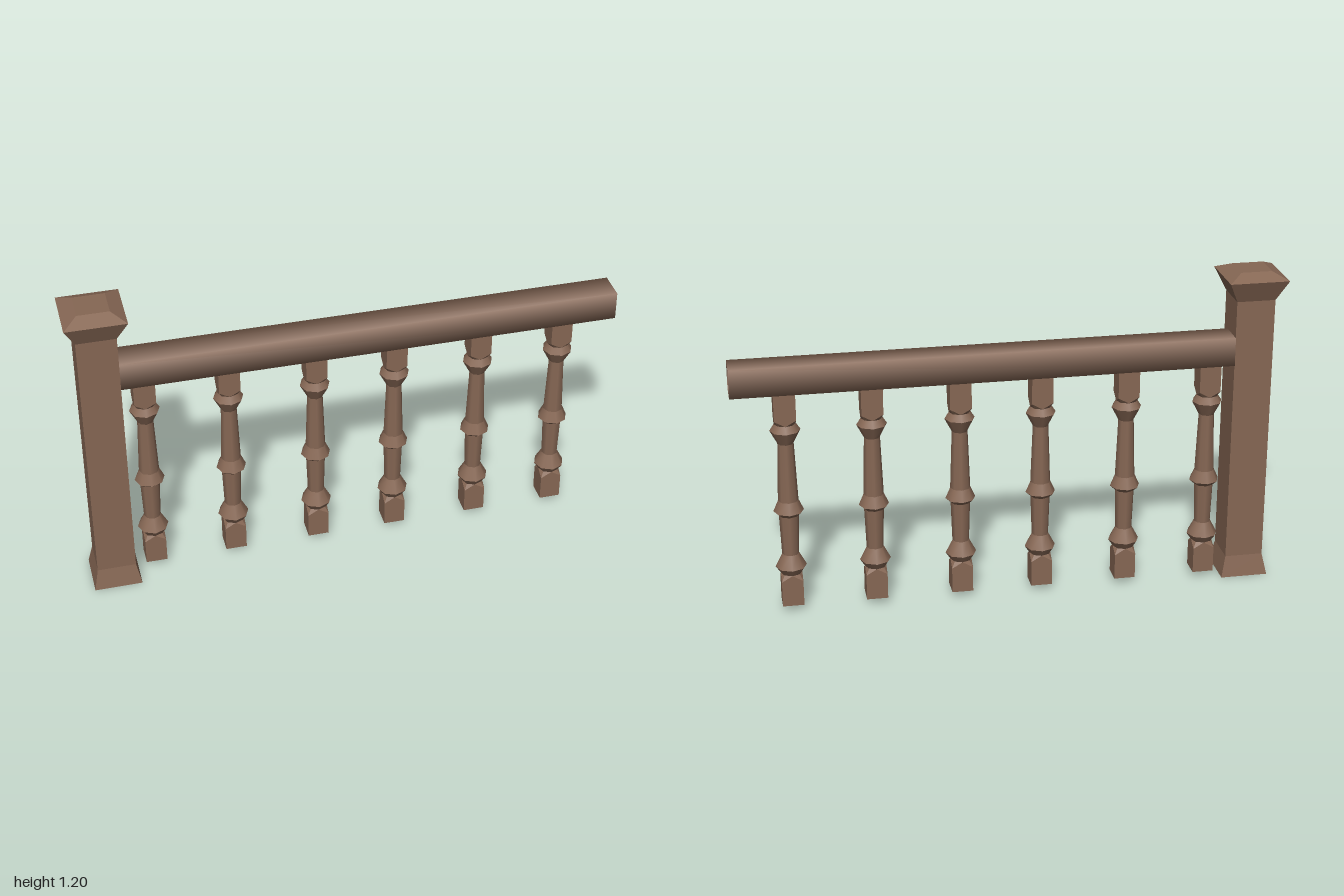
import * as THREE from 'three';
import { mergeGeometries } from 'three/addons/utils/BufferGeometryUtils.js';

const wood = new THREE.MeshStandardMaterial({ color: 0x866754, side: THREE.DoubleSide });
wood.name = 'brown wood';

// Open flat-sided square section between two heights; h0 and h1 are half widths
function squareSection([y0, h0], [y1, h1]) {
  const g = new THREE.CylinderGeometry(h1 * Math.SQRT2, h0 * Math.SQRT2, y1 - y0, 4, 1, true, Math.PI / 4).toNonIndexed();
  g.translate(0, (y0 + y1) / 2, 0);
  g.computeVertexNormals();
  return g;
}

// Open smooth eight-sided section between two heights
function roundSection([y0, r0], [y1, r1]) {
  const g = new THREE.CylinderGeometry(r1, r0, y1 - y0, 8, 1, true).toNonIndexed();
  return g.translate(0, (y0 + y1) / 2, 0);
}

const sections = (profile, make) =>
  mergeGeometries(profile.slice(1).map((p, i) => make(profile[i], p)));

// Eight points around a square: side middles and corners may differ in height
function squareRing(half, yMid, yCorner) {
  return Array.from({ length: 8 }, (_, i) => {
    const a = (i * Math.PI) / 4;
    const r = i % 2 ? half * Math.SQRT2 : half;
    return [Math.sin(a) * r, i % 2 ? yCorner : yMid, Math.cos(a) * r];
  });
}

function octagonRing(r, y) {
  return Array.from({ length: 8 }, (_, i) => {
    const a = (i * Math.PI) / 4;
    return [Math.sin(a) * r, y, Math.cos(a) * r];
  });
}

// Flat-shaded skin through rings listed from low to high
function skin(rings) {
  const pos = [];
  for (let k = 0; k < rings.length - 1; k++) {
    const lo = rings[k], hi = rings[k + 1];
    for (let i = 0; i < 8; i++) {
      const j = (i + 1) % 8;
      // choose the diagonal that starts from a side middle
      if (i % 2) pos.push(...lo[i], ...lo[j], ...hi[i], ...lo[j], ...hi[j], ...hi[i]);
      else pos.push(...lo[i], ...lo[j], ...hi[j], ...lo[i], ...hi[j], ...hi[i]);
    }
  }
  const g = new THREE.BufferGeometry();
  g.setAttribute('position', new THREE.Float32BufferAttribute(pos, 3));
  g.computeVertexNormals();
  return g;
}

function part(name, geometry, parent) {
  const mesh = new THREE.Mesh(geometry, wood);
  mesh.name = name;
  parent.add(mesh);
  return mesh;
}

export function createModel() {
  const model = new THREE.Group();
  model.name = 'stairRailing';

  // Newel post with flared foot and bevelled cap
  const post = new THREE.Group();
  post.name = 'newelPost';
  post.position.x = -0.891;
  model.add(post);
  part('postFoot', squareSection([0, 0.088], [0.08, 0.071]), post);
  part('postShaft', squareSection([0.08, 0.071], [1.092, 0.071]), post);
  part('postCap', sections([[1.092, 0.071], [1.172, 0.109], [1.197, 0.057]], squareSection), post);
  const top = new THREE.PlaneGeometry(0.114, 0.114).rotateX(-Math.PI / 2);
  part('postTop', top.translate(0, 1.197, 0), post);

  // Hollow handrail, softly shaded across its four sides
  const rail = new THREE.CylinderGeometry(Math.SQRT1_2, Math.SQRT1_2, 1.82, 4, 1, true, Math.PI / 4);
  rail.rotateZ(Math.PI / 2).scale(1, 0.106, 0.11);
  part('handrail', rail, model).position.set(0.09, 0.903, -0.02);

  // Turned balusters with square blocks at both ends
  const half = 0.039;
  const lowerBlock = skin([
    squareRing(half, 0.025, 0.025), squareRing(half, 0.145, 0.122), octagonRing(half, 0.145),
  ]);
  const upperBlock = skin([
    octagonRing(half, 0.73), squareRing(half, 0.73, 0.752), squareRing(half, 0.858, 0.858),
  ]);
  const spindle = sections([
    [0.145, half], [0.172, 0.057], [0.222, 0.031], [0.375, 0.036], [0.392, 0.055],
    [0.433, 0.037], [0.655, 0.029], [0.705, 0.055], [0.73, half],
  ], roundSection);
  for (const x of [-0.733, -0.43, -0.112, 0.185, 0.502, 0.81]) {
    const baluster = new THREE.Group();
    baluster.name = 'baluster';
    baluster.position.set(x, 0, -0.032);
    part('lowerBlock', lowerBlock, baluster);
    part('spindle', spindle, baluster);
    part('upperBlock', upperBlock, baluster);
    model.add(baluster);
  }
  return model;
}
